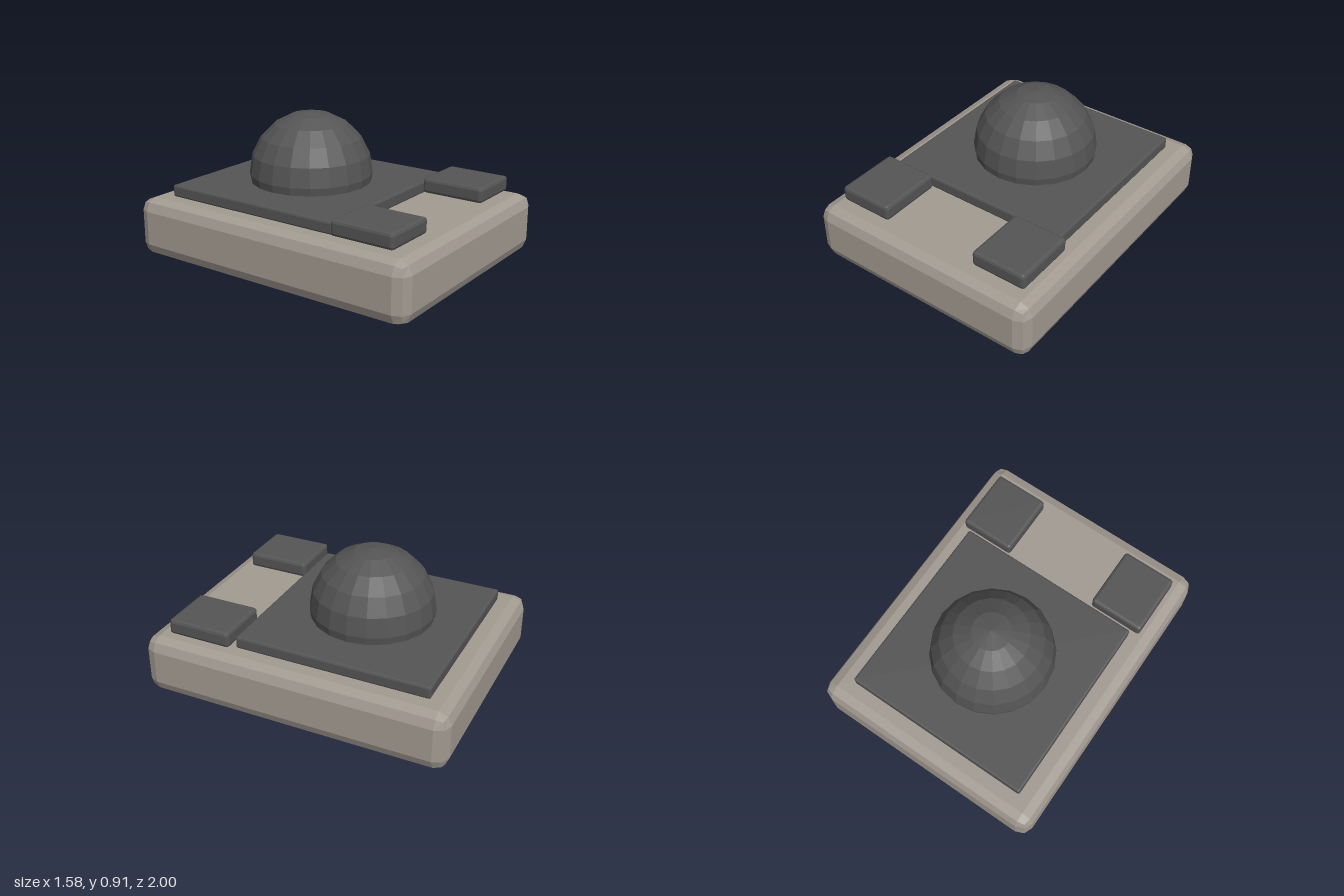
import * as THREE from 'three';
import { RoundedBoxGeometry } from 'three/addons/geometries/RoundedBoxGeometry.js';

export function createModel() {
  const model = new THREE.Group();
  model.name = 'trackball';

  const caseGrey = new THREE.MeshStandardMaterial({ color: 0xa39b92, flatShading: true });
  caseGrey.name = 'warm grey';
  const darkGrey = new THREE.MeshStandardMaterial({ color: 0x555555, flatShading: true });
  darkGrey.name = 'dark grey';

  // Bevelled block given by its size, bevel radius and centre
  function block(name, size, radius, centre, material) {
    const mesh = new THREE.Mesh(new RoundedBoxGeometry(...size, 1, radius), material);
    mesh.name = name;
    mesh.position.set(...centre);
    model.add(mesh);
  }

  // Housing and the raised plate around the ball
  block('base', [1.58, 0.38, 2], 0.08, [0, 0.19, 0], caseGrey);
  block('plate', [1.26, 0.08, 1.26], 0.013, [0, 0.415, -0.21], darkGrey);

  // Pair of front buttons
  for (const [side, name] of [[1, 'leftButton'], [-1, 'rightButton']]) {
    block(name, [0.365, 0.1, 0.42], 0.02, [side * 0.503, 0.445, 0.65], darkGrey);
  }

  // Faceted ball, sunk into the plate
  const ball = new THREE.Mesh(
    new THREE.SphereGeometry(0.4, 20, 6, 0, Math.PI * 2, 0, Math.PI * 0.6), darkGrey);
  ball.name = 'ball';
  ball.position.set(0, 0.505, -0.21);
  model.add(ball);

  return model;
}
